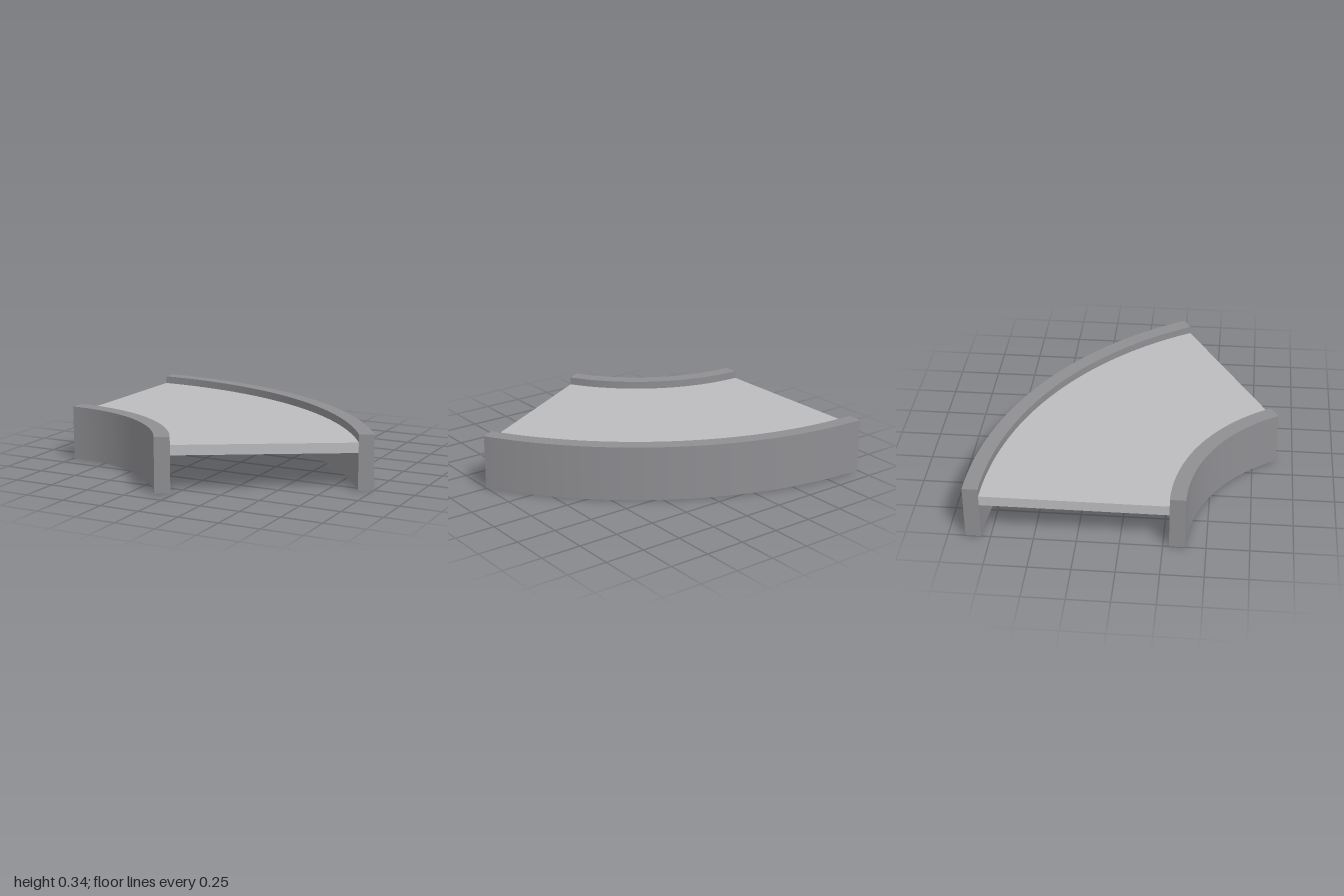
import * as THREE from 'three';
import { toCreasedNormals } from 'three/addons/utils/BufferGeometryUtils.js';

// Arc centre and the 60 degree sweep shared by every part
const CENTRE = { x: -1, z: 1.412 };
const START = Math.PI / 6, END = Math.PI / 2;

// Ring sector between two radii, standing from y0 to y1
function sector(inner, outer, y0, y1) {
  const shape = new THREE.Shape();
  shape.absarc(0, 0, outer, START, END, false);
  shape.absarc(0, 0, inner, END, START, true);
  shape.closePath();
  const geometry = new THREE.ExtrudeGeometry(shape, {
    depth: y1 - y0, bevelEnabled: false, curveSegments: 32,
  });
  geometry.rotateX(-Math.PI / 2);
  geometry.translate(CENTRE.x, y0, CENTRE.z);
  return toCreasedNormals(geometry, Math.PI / 6);
}

export function createModel() {
  const railGrey = new THREE.MeshStandardMaterial({ color: 0x8f8f93 });
  railGrey.name = 'rail grey';
  const beltGrey = new THREE.MeshStandardMaterial({ color: 0xbcbcbe });
  beltGrey.name = 'belt grey';

  const group = new THREE.Group();
  group.name = 'curvedConveyor';
  const add = (name, geometry, material) => {
    const mesh = new THREE.Mesh(geometry, material);
    mesh.name = name;
    group.add(mesh);
  };

  // Side rails, taller than the belt and reaching the ground
  add('outerRail', sector(2.217, 2.309, 0, 0.337), railGrey);
  add('innerRail', sector(1.032, 1.125, 0, 0.337), railGrey);

  // Belt slab held between the rails
  add('belt', sector(1.125, 2.217, 0.227, 0.289), beltGrey);
  return group;
}
